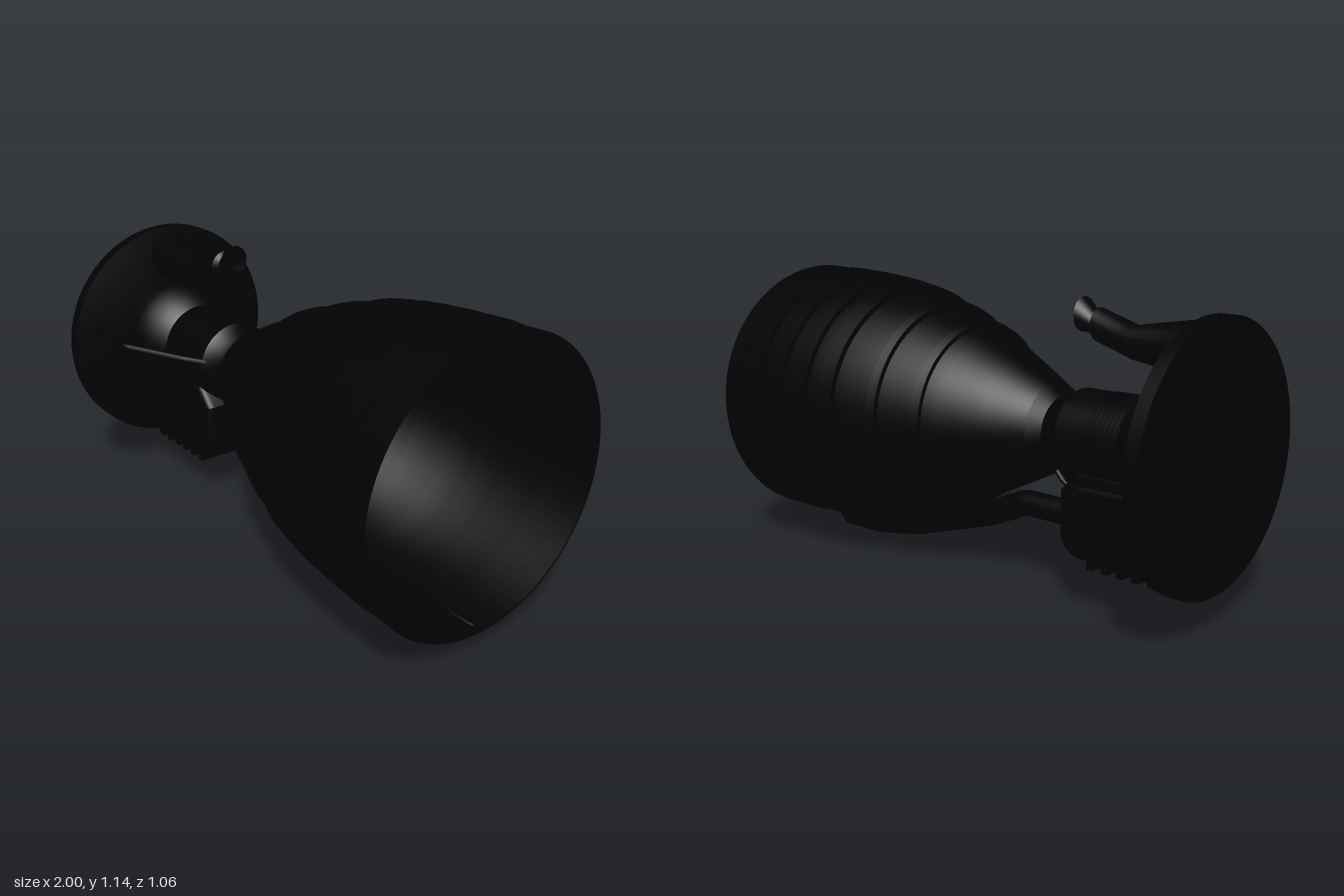
import * as THREE from 'three';
import { toCreasedNormals } from 'three/addons/utils/BufferGeometryUtils.js';

const AXIS_Y = 0.61;
const material = new THREE.MeshStandardMaterial({ color: 0x020202, side: THREE.DoubleSide });

export function createModel() {
  const engine = new THREE.Group();
  engine.name = 'rocketEngine';

  const add = (name, geometry) => {
    const mesh = new THREE.Mesh(geometry, material);
    mesh.name = name;
    engine.add(mesh);
    return mesh;
  };
  // Body of revolution along x, from [x, radius] pairs
  const turned = (points, segments = 64) => toCreasedNormals(
    new THREE.LatheGeometry(points.map(([x, r]) => new THREE.Vector2(r, x)), segments).rotateZ(-Math.PI / 2), 0.5);
  const addTurned = (name, points, segments, y = AXIS_Y, z = 0) => {
    add(name, turned(points, segments)).position.set(0, y, z);
  };
  // Pipe with straight runs and slightly softened bends
  const addPipe = (name, points, radius, sides = 16) => {
    const v = points.map(p => new THREE.Vector3(...p));
    const path = new THREE.CurvePath();
    let last = v[0];
    for (let i = 1; i < v.length - 1; i++) {
      const a = v[i].clone().lerp(v[i - 1], 0.08), b = v[i].clone().lerp(v[i + 1], 0.08);
      path.add(new THREE.LineCurve3(last, a));
      path.add(new THREE.QuadraticBezierCurve3(a, v[i], b));
      last = b;
    }
    path.add(new THREE.LineCurve3(last, v[v.length - 1]));
    add(name, new THREE.TubeGeometry(path, 80, radius, sides));
  };

  // Mounting plate with its conical front
  addTurned('mountingPlate', [[-1, 0], [-1, 0.47], [-0.95, 0.47], [-0.9, 0.25], [-0.9, 0]]);

  // Injector dome, chamber and throat
  addTurned('combustionChamber', [
    [-0.92, 0.25], [-0.85, 0.25], [-0.81, 0.235], [-0.75, 0.21], [-0.71, 0.175], [-0.71, 0.166],
    [-0.44, 0.168], [-0.4, 0.138], [-0.35, 0.128], [-0.31, 0.17]]);
  for (let i = 0; i < 7; i++) {
    const x = -0.7 + i * 0.02;
    addTurned('chamberRib', [[x, 0.16], [x, 0.17], [x + 0.01, 0.17], [x + 0.01, 0.16]], 48);
  }

  // Thin open bell nozzle
  const bell = [[-0.31, 0.17], [-0.15, 0.25], [0, 0.322], [0.06, 0.346], [0.24, 0.41], [0.4, 0.458],
    [0.52, 0.483], [0.65, 0.5], [0.8, 0.513], [1, 0.524]];
  addTurned('nozzle', bell, 96);

  // Stiffening hoops around the bell
  const bellRadius = x => {
    const i = bell.findIndex(p => p[0] >= x);
    const [x0, r0] = bell[i - 1], [x1, r1] = bell[i];
    return r0 + (r1 - r0) * (x - x0) / (x1 - x0);
  };
  for (const [x, width, height] of [[0.045, 0.03, 0.016], [0.215, 0.033, 0.018], [0.4, 0.06, 0.02],
    [0.53, 0.06, 0.018], [0.66, 0.06, 0.016], [0.79, 0.06, 0.014], [0.92, 0.08, 0.008]]) {
    const end = x + width, a = bellRadius(x), b = bellRadius(end);
    addTurned('nozzleHoop', [[x, a], [x, a + height], [end, b + height], [end, b]], 96);
  }

  // Upper exhaust duct with a small flared outlet
  const ductSections = [[-0.94, 0.965, 0.098], [-0.9, 0.963, 0.095], [-0.66, 0.96, 0.06],
    [-0.505, 1.008, 0.06], [-0.49, 1.015, 0.038], [-0.436, 1.04, 0.062]];
  const duct = new THREE.CylinderGeometry(1, 1, 1, 24, ductSections.length - 1, true);
  const pos = duct.attributes.position;
  for (let i = 0; i < pos.count; i++) {
    const [x, y, r] = ductSections[Math.round((0.5 - pos.getY(i)) * (ductSections.length - 1))];
    pos.setXYZ(i, x, y + pos.getX(i) * r, pos.getZ(i) * r);
  }
  add('exhaustDuct', toCreasedNormals(duct, 0.6));

  // Turbopump housing beneath the chamber
  const housing = new THREE.Shape();
  housing.moveTo(-0.9, 0.22);
  housing.lineTo(-0.54, 0.22);
  housing.quadraticCurveTo(-0.47, 0.22, -0.47, 0.29);
  housing.lineTo(-0.47, 0.42);
  housing.lineTo(-0.53, 0.48);
  housing.lineTo(-0.9, 0.48);
  const housingGeometry = new THREE.ExtrudeGeometry(housing, {
    depth: 0.22, bevelEnabled: true, bevelSize: 0.03, bevelThickness: 0.03, bevelSegments: 4, curveSegments: 10 });
  add('pumpHousing', toCreasedNormals(housingGeometry.translate(0, 0, -0.11), 0.6));

  const block = add('pumpBlock', new THREE.BoxGeometry(0.35, 0.18, 0.31));
  block.position.set(-0.73, 0.41, 0);

  // Cooling fins below the housing
  for (let i = 0; i < 6; i++) {
    const fin = add('coolingFin', new THREE.BoxGeometry(0.028, 0.07, 0.22));
    fin.position.set(-0.88 + i * 0.065, 0.185, 0.01);
  }

  // Ribbed accessory drum beside the chamber
  const drum = [[-0.71, 0]];
  for (let i = 0; i < 10; i++) {
    const x = -0.71 + i * 0.015;
    drum.push([x, 0.095], [x + 0.009, 0.095], [x + 0.009, 0.088], [x + 0.015, 0.088]);
  }
  drum.push([-0.56, 0]);
  addTurned('ribbedDrum', drum, 32, 0.57, 0.104);

  // Long pipe running under the bell, closed by a tapered end
  addPipe('turbineExhaustPipe', [[-0.48, 0.305, -0.004], [-0.18, 0.305, -0.004], [0, 0.224, -0.004],
    [0.4, 0.1, -0.004], [0.55, 0.07, -0.004], [0.67, 0.052, -0.004], [0.85, 0.049, -0.004]], 0.049, 24);
  const taper = turned([[0, 0.049], [0.12, 0.008], [0.12, 0]], 24);
  taper.applyMatrix4(new THREE.Matrix4().set(1, 0, 0, 0, 0.3, 1, 0, 0, 0, 0, 1, 0, 0, 0, 0, 1));
  add('exhaustPipeEnd', taper).position.set(0.85, 0.049, -0.004);

  // Small feed line to the throat
  addPipe('feedLine', [[-0.48, 0.4, 0], [-0.39, 0.4, 0], [-0.35, 0.425, 0], [-0.325, 0.455, 0]], 0.012, 10);

  // Bent side struts from the plate to the throat, one above and one below the axis
  for (const [side, out] of [[1, 0.02], [-1, 0]]) {
    const y = h => AXIS_Y + side * h;
    addPipe('sideStrut', [[-0.95, y(0.08), side * (0.35 + out)], [-0.69, y(0.08), side * (0.36 + out)],
      [-0.48, y(0.05), side * (0.2 + out)], [-0.43, y(0.03), side * 0.14]], 0.012, 10);
  }

  return engine;
}
